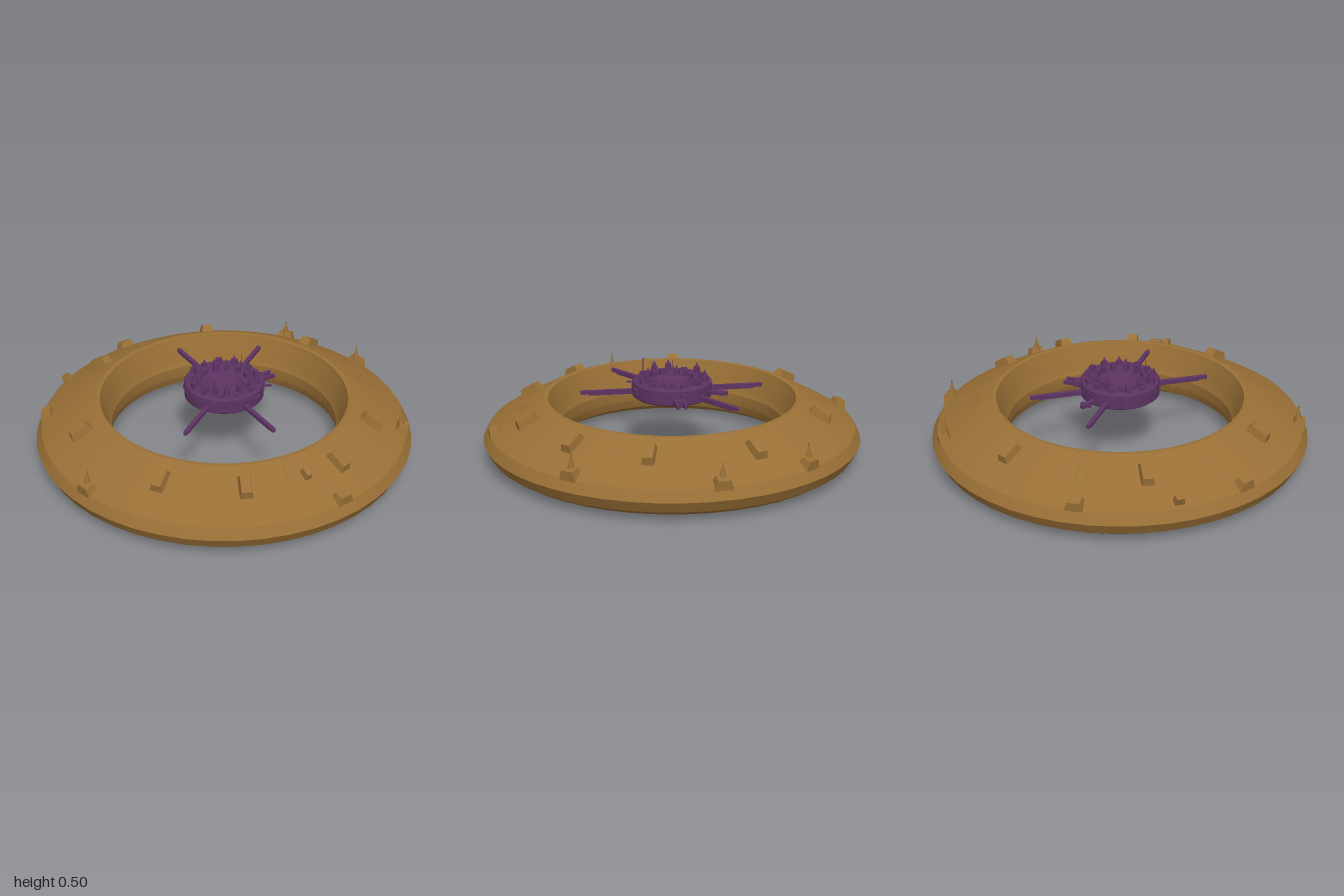
import * as THREE from 'three';
import { toCreasedNormals } from 'three/addons/utils/BufferGeometryUtils.js';

const bronze = new THREE.MeshStandardMaterial({ color: 0x996f36 });
const purple = new THREE.MeshStandardMaterial({ color: 0x5c3362 });
const SLOPE = 0.49;

function seeded(seed) {
  return () => ((seed = (seed * 16807) % 2147483647) / 2147483647);
}

function add(parent, name, geometry, material, x = 0, y = 0, z = 0) {
  const mesh = new THREE.Mesh(geometry, material);
  mesh.name = name;
  mesh.position.set(x, y, z);
  parent.add(mesh);
  return mesh;
}

function lathe(points, segments) {
  const profile = points.map(([r, y]) => new THREE.Vector2(r, y));
  return toCreasedNormals(new THREE.LatheGeometry(profile, segments), 0.4);
}

// Four-sided block with sloping sides, base centred at y = 0
function frustum(w, h, d, taper) {
  const g = new THREE.CylinderGeometry(taper * Math.SQRT1_2, Math.SQRT1_2, 1, 4).toNonIndexed();
  g.rotateY(Math.PI / 4).translate(0, 0.5, 0).scale(w, h, d);
  g.computeVertexNormals();
  return g;
}

// Group turned so that its local +z points outward towards (x, z)
function spoke(parent, name, x, z) {
  const g = new THREE.Group();
  g.name = name;
  g.rotation.y = Math.atan2(x, z);
  parent.add(g);
  return g;
}

const deckHeight = (r) => 0.165 + (0.97 - r) * 0.535;

function buildRing() {
  const ring = new THREE.Group();
  ring.name = 'ring';
  add(ring, 'ringHull', lathe([
    [0.6, 0.1], [0.62, 0.05], [0.68, 0.015], [0.78, 0], [0.87, 0.006], [0.93, 0.025], [0.97, 0.052],
    [1, 0.11], [0.97, 0.165], [0.88, 0.219], [0.8, 0.259], [0.7, 0.312], [0.675, 0.32],
    [0.655, 0.318], [0.645, 0.285], [0.625, 0.24], [0.615, 0.19], [0.6, 0.16], [0.6, 0.1],
  ], 48), bronze);

  // Long radial blocks on the sloping deck
  const deck = [[-0.05, -0.78], [0.52, -0.6], [0.77, -0.15], [0.74, 0.25], [0.52, 0.59],
    [0.05, 0.78], [-0.35, 0.7], [-0.74, 0.25], [-0.65, -0.44]];
  for (const [x, z] of deck) {
    const r = Math.hypot(x, z);
    const b = add(spoke(ring, 'deckBlock', x, z), 'deckHouse', frustum(0.07, 0.055, 0.13, 0.72), bronze,
      0, deckHeight(r) - 0.015, r);
    b.rotation.x = SLOPE;
  }

  // Wide blocks near the rim, some carrying a spire
  const rim = [[0.42, -0.84, 1], [0.79, -0.52, 1], [0.92, 0.19, 1], [0.52, 0.78, 0],
    [-0.71, 0.62, 1], [-0.935, -0.06, 0], [-0.52, -0.78, 0]];
  for (const [x, z, spire] of rim) {
    const r = Math.hypot(x, z);
    const s = spoke(ring, 'rimBlock', x, z);
    const b = add(s, 'rimHouse', frustum(0.095, 0.05, 0.07, 0.68), bronze, 0, deckHeight(r) - 0.015, r);
    b.rotation.x = 0.32;
    if (spire) {
      add(s, 'spire', new THREE.ConeGeometry(0.022, 0.08, 6), bronze, 0, deckHeight(r) + 0.06, r);
      add(s, 'spireTip', new THREE.CylinderGeometry(0.003, 0.004, 0.05, 5), bronze, 0, deckHeight(r) + 0.08, r);
    }
  }

  // Small hatches and nearly flush plates
  for (const [x, z, w, h, d] of [[0.35, 0.7, 0.035, 0.04, 0.06], [-0.84, -0.41, 0.05, 0.045, 0.04],
    [-0.44, -0.66, 0.06, 0.008, 0.1], [-0.65, 0.43, 0.05, 0.008, 0.12], [-0.62, 0.37, 0.03, 0.008, 0.1],
    [0.27, 0.7, 0.05, 0.008, 0.08]]) {
    const r = Math.hypot(x, z);
    const b = add(spoke(ring, 'hatch', x, z), 'hatchCover', frustum(w, h, d, 0.75), bronze, 0, deckHeight(r) - 0.003, r);
    b.rotation.x = SLOPE;
  }
  return ring;
}

function buildHub() {
  const hub = new THREE.Group();
  hub.name = 'hub';
  add(hub, 'hubDrum', lathe([[0, 0.315], [0.2, 0.315], [0.21, 0.323], [0.21, 0.395], [0.2, 0.405],
    [0.168, 0.405], [0.16, 0.39], [0.1, 0.388], [0.092, 0.378], [0, 0.378]], 32), purple);

  // Four long diagonal arms
  for (const sx of [-1, 1]) for (const sz of [-1, 1]) {
    const s = spoke(hub, 'arm', sx * 0.22, sz * 0.42);
    add(s, 'armBeam', new THREE.BoxGeometry(0.022, 0.018, 0.28), purple, 0, 0.35, 0.33);
    add(s, 'armRib', new THREE.BoxGeometry(0.01, 0.012, 0.26), purple, 0, 0.338, 0.31);
    const tip = add(s, 'armTip', new THREE.CylinderGeometry(0.011, 0.011, 0.018, 10), purple, 0, 0.35, 0.47);
    tip.scale.z = 1.5;
  }

  // Docking boom at the back and forked dock at the side
  const boom = spoke(hub, 'dockingBoom', -0.03, -0.3);
  add(boom, 'boomBeam', new THREE.BoxGeometry(0.022, 0.02, 0.1), purple, 0, 0.345, 0.25);
  add(boom, 'boomCross', new THREE.BoxGeometry(0.06, 0.014, 0.018), purple, 0, 0.345, 0.265);
  const fork = spoke(hub, 'forkedDock', 0.23, -0.125);
  add(fork, 'forkBase', new THREE.BoxGeometry(0.06, 0.028, 0.05), purple, 0, 0.343, 0.225);
  for (const s of [-1, 1]) {
    add(fork, 'forkProng', new THREE.BoxGeometry(0.014, 0.02, 0.065), purple, s * 0.021, 0.343, 0.275);
  }
  for (const [x, z] of [[0.25, 0.02], [0.02, 0.25]]) {
    add(spoke(hub, 'pin', x, z), 'pinRod', new THREE.BoxGeometry(0.008, 0.008, 0.06), purple, 0, 0.37, 0.22);
  }
  add(spoke(hub, 'sidePod', 0.16, 0.14), 'pod', new THREE.BoxGeometry(0.035, 0.03, 0.03), purple, 0, 0.365, 0.212);

  // Bays around the drum wall
  const rand = seeded(71);
  for (let i = 0; i < 20; i++) {
    const a = (i / 20) * Math.PI * 2;
    add(spoke(hub, 'bay', Math.sin(a), Math.cos(a)), 'bayFrame',
      new THREE.BoxGeometry(0.02 + rand() * 0.02, 0.014 + rand() * 0.014, 0.01), purple, 0, 0.37, 0.21);
  }

  // Buildings and pointed towers on the deck
  for (let i = 0; i < 26; i++) {
    const a = ((i + rand() * 0.5) / 26) * Math.PI * 2;
    const r = i % 2 ? 0.178 : 0.132;
    const h = 0.025 + rand() * 0.025;
    const s = spoke(hub, 'building', Math.sin(a), Math.cos(a));
    add(s, 'block', frustum(0.026 + rand() * 0.014, h, 0.026, 0.85), purple, 0, 0.388, r);
    if (i % 3 !== 1) {
      add(s, 'towerRoof', new THREE.ConeGeometry(0.013, 0.032, 6), purple, 0, 0.388 + h + 0.01, r);
    }
  }

  // Thin masts
  for (const [x, z, top] of [[-0.02, 0.17, 0.5], [-0.06, 0.13, 0.475], [0.1, -0.13, 0.475], [-0.16, 0.05, 0.46]]) {
    add(hub, 'mast', new THREE.CylinderGeometry(0.0015, 0.003, top - 0.39, 5), purple, x, (top + 0.39) / 2, z);
  }
  return hub;
}

export function createModel() {
  const model = new THREE.Group();
  model.name = 'ringStation';
  model.add(buildRing(), buildHub());
  return model;
}
